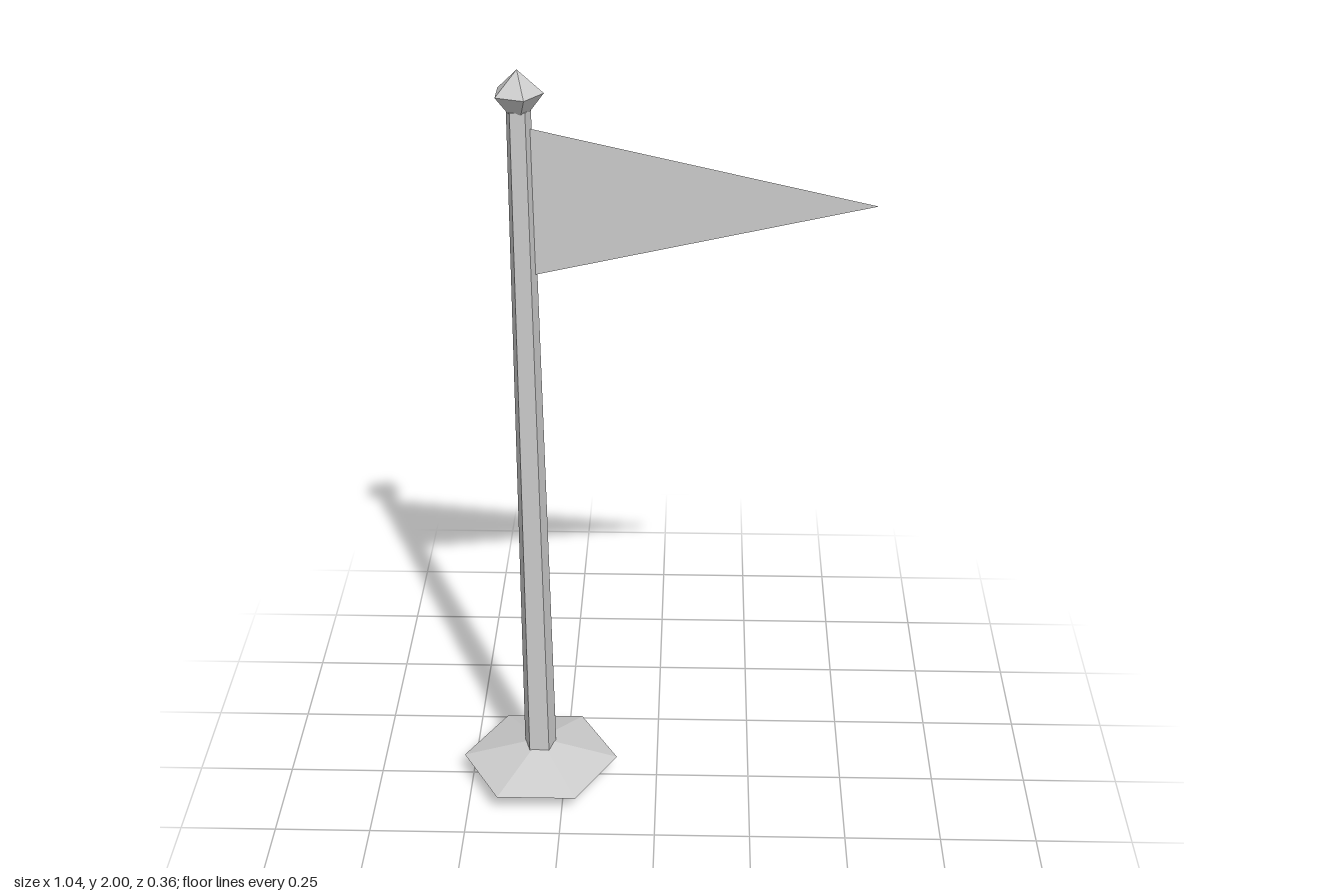
import * as THREE from 'three';

const POLE_X = -0.315;

export function createModel() {
  const group = new THREE.Group();
  group.name = 'pennantPole';

  const grey = new THREE.MeshStandardMaterial({ color: 0xcccccc, flatShading: true, side: THREE.DoubleSide });
  grey.name = 'lightGrey';

  const add = (name, geometry, x, y) => {
    const mesh = new THREE.Mesh(geometry, grey);
    mesh.name = name;
    mesh.position.set(x, y, 0);
    group.add(mesh);
  };

  // Faceted tapered section standing on its bottom edge, with a corner at angle `start`
  const section = (name, rTop, rBottom, y0, y1, sides, start, open) => add(
    name,
    new THREE.CylinderGeometry(rTop, rBottom, y1 - y0, sides, 1, open, start),
    POLE_X, (y0 + y1) / 2
  );

  // Five-sided tapering pole, flat side to the front
  section('pole', 0.03, 0.045, 0, 1.905, 5, Math.PI, false);

  // Six-sided double-cone foot
  section('footTop', 0, 0.207, 0.06, 0.12, 6, Math.PI / 2, true);
  section('footBottom', 0.207, 0, 0.0, 0.06, 6, Math.PI / 2, true);

  // Five-sided pointed finial
  section('finialTop', 0, 0.06, 1.945, 2, 5, Math.PI / 2, true);
  section('finialBottom', 0.06, 0.026, 1.9, 1.945, 5, Math.PI / 2, true);

  // Triangular pennant in the plane of the pole
  const pennant = new THREE.Shape([
    new THREE.Vector2(-0.29, 1.495),
    new THREE.Vector2(0.515, 1.677),
    new THREE.Vector2(-0.29, 1.86),
  ]);
  add('pennant', new THREE.ShapeGeometry(pennant), 0, 0);

  return group;
}
